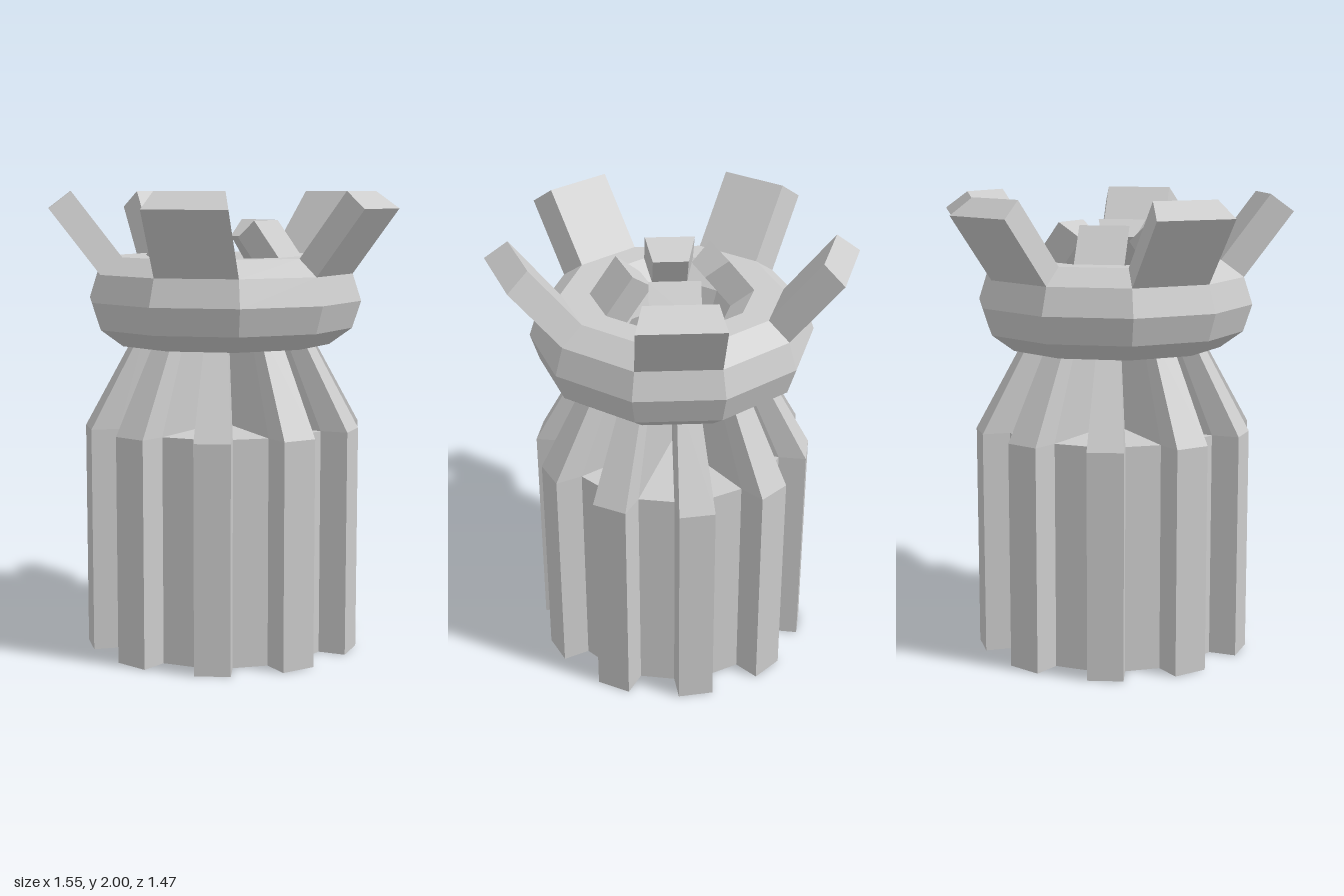
import * as THREE from 'three';

const RAD = Math.PI / 180;
const material = new THREE.MeshStandardMaterial({ color: 0xcccccc, flatShading: true });

// Ring: ten-sided tube bent into a ten-sided loop
const RING_R = 0.41, TUBE_R = 0.2, RING_Y = 1.53;
// Body: twenty-sided core with every second face pushed out as a rib
const CORE_R = 0.49, RIB_DEPTH = 0.12, SHOULDER_Y = 0.98, NECK_Y = 1.45, NECK_SCALE = 0.575;
const RIBS = 10, FIRST_RIB = 7.3;

function add(parent, name, geometry) {
  const mesh = new THREE.Mesh(geometry, material);
  mesh.name = name;
  parent.add(mesh);
  return mesh;
}

// Plan points (x, -z) of one rib: core corner, two outer corners, core corner
function ribCorners(angle) {
  const half = CORE_R * Math.sin(9 * RAD), inner = CORE_R * Math.cos(9 * RAD);
  const outer = inner + RIB_DEPTH;
  const s = Math.sin(angle), c = Math.cos(angle);
  return [[-half, inner], [-half, outer], [half, outer], [half, inner]]
    .map(([t, r]) => new THREE.Vector2(r * s + t * c, -(r * c - t * s)));
}

// Extrudes a plan upwards from y0, scaling its top end towards the axis
function extrudeUp(points, y0, y1, topScale = 1) {
  const height = y1 - y0;
  const g = new THREE.ExtrudeGeometry(new THREE.Shape(points), { depth: height, bevelEnabled: false });
  const p = g.attributes.position;
  for (let i = 0; i < p.count; i++) {
    if (p.getZ(i) > height / 2) p.setXY(i, p.getX(i) * topScale, p.getY(i) * topScale);
  }
  g.rotateX(-Math.PI / 2);
  g.translate(0, y0, 0);
  g.computeVertexNormals();
  return g;
}

// Prism standing on one facet of the ring, between tube corners a and b (degrees)
function facetPrism(a, b, length) {
  const r = d => RING_R + TUBE_R * Math.cos(d * RAD);
  const h = d => TUBE_R * Math.sin(d * RAD);
  const flat = Math.cos(18 * RAD), side = Math.sin(18 * RAD);
  const dy = h(b) - h(a), dz = (r(b) - r(a)) * flat;
  const wa = r(a) * side, wb = r(b) * side, v = Math.hypot(dy, dz);
  const shape = new THREE.Shape([[-wa, 0], [wa, 0], [wb, v], [-wb, v]].map(q => new THREE.Vector2(...q)));
  const g = new THREE.ExtrudeGeometry(shape, { depth: length, bevelEnabled: false });
  g.rotateX(Math.atan2(dz, dy));
  g.translate(0, RING_Y + h(a), r(a) * flat);
  return g;
}

export function createModel() {
  const model = new THREE.Group();
  model.name = 'ribbedTower';
  model.position.z = 0.02;

  // Ribbed lower body
  const angles = Array.from({ length: RIBS }, (_, i) => (FIRST_RIB + i * 360 / RIBS) * RAD);
  add(model, 'ribbedBody', extrudeUp(angles.flatMap(ribCorners), 0, SHOULDER_Y));

  // Wedges carrying each rib up and inwards to the ring
  const neck = new THREE.Group();
  neck.name = 'neck';
  for (const angle of angles) {
    const plan = [new THREE.Vector2(0, 0), ...ribCorners(angle)];
    add(neck, 'neckWedge', extrudeUp(plan, SHOULDER_Y, NECK_Y, NECK_SCALE));
  }
  model.add(neck);

  // Faceted collar
  const ring = new THREE.TorusGeometry(RING_R, TUBE_R, 10, 10);
  ring.rotateX(Math.PI / 2);
  add(model, 'collarRing', ring).position.y = RING_Y;

  // Five outer prongs leaning out
  const prong = facetPrism(36, 72, 0.352);
  for (let i = 0; i < 5; i++) {
    add(model, 'outerProng', prong).rotation.y = (180 + i * 72) * RAD;
  }

  // Four short inner teeth leaning in
  const tooth = facetPrism(108, 144, 0.195);
  for (const deg of [0, 108, 180, 288]) {
    add(model, 'innerTooth', tooth).rotation.y = deg * RAD;
  }

  const root = new THREE.Group();
  root.name = 'model';
  root.add(model);
  return root;
}
